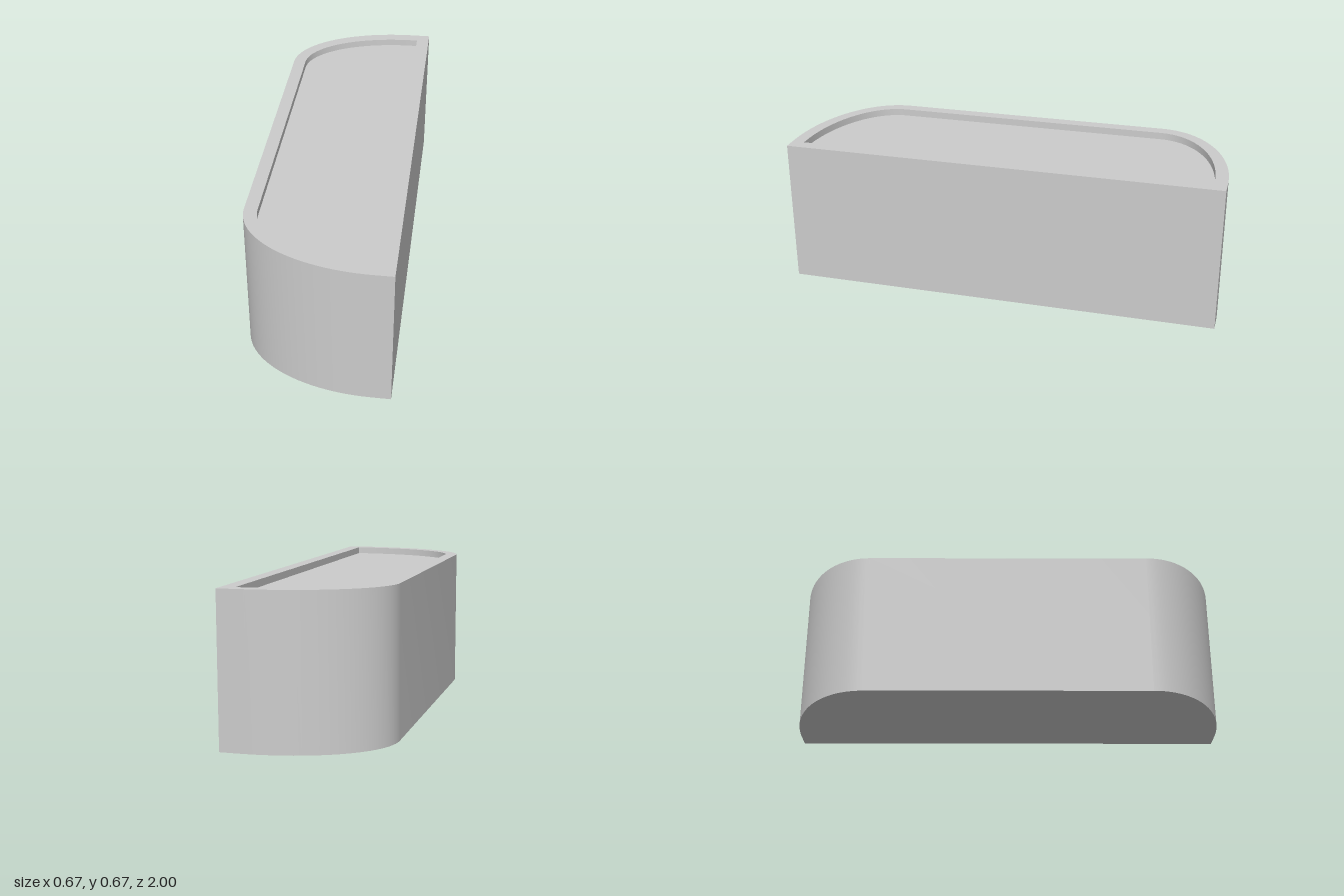
import * as THREE from 'three';
import { toCreasedNormals } from 'three/addons/utils/BufferGeometryUtils.js';

const STEPS = 24;
const HEIGHT = 0.667, FLOOR = 0.635;
const ARC_X = 0.25, ARC_Z = 0.64; // centre of the elliptical corners

// D-shaped outline: flat side at +x, elliptical corners towards -x
function outline(flatX, a, b) {
  const half = [[flatX, ARC_Z + b]];
  for (let i = 0; i <= STEPS; i++) {
    const t = (i / STEPS) * Math.PI / 2;
    half.push([ARC_X - a * Math.sin(t), ARC_Z + b * Math.cos(t)]);
  }
  const mirrored = half.map(([x, z]) => [x, -z]).reverse();
  return [...half, ...mirrored];
}

// Closed skin through a stack of rings, with a fan cap at either end
function loft(rings) {
  const pos = [];
  const tri = (...pts) => pts.forEach((p) => pos.push(...p));
  const n = rings[0].length;
  const first = rings[0], last = rings[rings.length - 1];
  const bottomCentre = [0, first[0][1], 0], topCentre = [0, last[0][1], 0];
  for (let i = 0; i < n; i++) {
    const k = (i + 1) % n;
    tri(bottomCentre, first[i], first[k]);
    for (let r = 0; r < rings.length - 1; r++) {
      const a = rings[r], b = rings[r + 1];
      tri(a[i], b[i], b[k]);
      tri(a[i], b[k], a[k]);
    }
    tri(last[i], topCentre, last[k]);
  }
  const geo = new THREE.BufferGeometry();
  geo.setAttribute('position', new THREE.Float32BufferAttribute(pos, 3));
  return toCreasedNormals(geo, Math.PI / 6);
}

export function createModel() {
  const group = new THREE.Group();
  group.name = 'roundedBlock';

  const outer = outline(0.333, 0.583, 0.36);
  const inner = outline(0.272, 0.525, 0.303);
  const at = (ring, y) => ring.map(([x, z]) => [x, y, z]);

  // Solid body with a raised rim around a shallow recess
  const body = new THREE.Mesh(
    loft([at(outer, 0), at(outer, HEIGHT), at(inner, HEIGHT), at(inner, FLOOR)]),
    new THREE.MeshStandardMaterial({ color: 0xcccccc })
  );
  body.name = 'bodyWithRecessedTop';
  group.add(body);
  return group;
}
